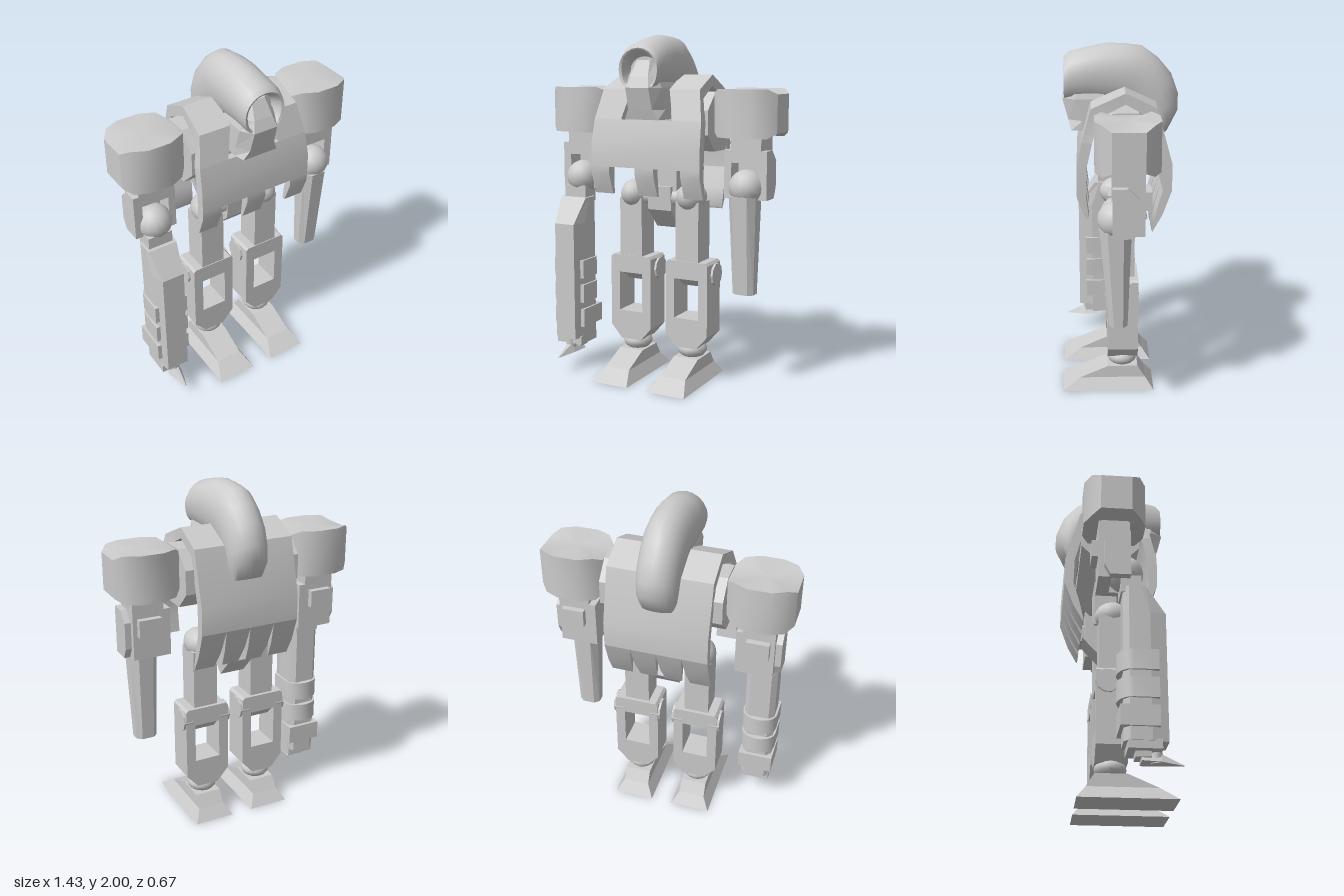
import * as THREE from 'three';
import { toCreasedNormals } from 'three/addons/utils/BufferGeometryUtils.js';

const grey = new THREE.MeshStandardMaterial({ color: 0xcccccc });
const flat = new THREE.MeshStandardMaterial({ color: 0xcccccc, flatShading: true });

function add(group, name, geo, pos = [0, 0, 0], mat = flat) {
  const m = new THREE.Mesh(geo, mat);
  m.name = name;
  m.position.set(...pos);
  group.add(m);
  return m;
}

// box given by its limits on each axis
function box(group, name, [x0, x1], [y0, y1], [z0, z1]) {
  return add(group, name, new THREE.BoxGeometry(x1 - x0, y1 - y0, z1 - z0),
    [(x0 + x1) / 2, (y0 + y1) / 2, (z0 + z1) / 2]);
}

// closed solid through rings of [x, y, z]; faces always end up pointing outward
function loft(rings, crease = 0.3) {
  const tris = [], n = rings[0].length, last = rings.length - 1;
  const mid = r => [0, 1, 2].map(k => r.reduce((s, p) => s + p[k], 0) / n);
  const c0 = mid(rings[0]), c1 = mid(rings[last]);
  for (let j = 0; j < n; j++) {
    const k = (j + 1) % n;
    for (let i = 0; i < last; i++) {
      const a = rings[i][j], b = rings[i][k], c = rings[i + 1][k], d = rings[i + 1][j];
      tris.push([a, b, c], [a, c, d]);
    }
    tris.push([c0, rings[0][k], rings[0][j]], [c1, rings[last][j], rings[last][k]]);
  }
  let vol = 0;
  for (const [a, b, c] of tris) {
    vol += a[0] * (b[1] * c[2] - b[2] * c[1]) + a[1] * (b[2] * c[0] - b[0] * c[2]) + a[2] * (b[0] * c[1] - b[1] * c[0]);
  }
  const pts = tris.flatMap(([a, b, c]) => vol > 0 ? [...a, ...b, ...c] : [...a, ...c, ...b]);
  const g = new THREE.BufferGeometry();
  g.setAttribute('position', new THREE.Float32BufferAttribute(pts, 3));
  return toCreasedNormals(g, crease);
}

// thick curved plate: each row is [outer z, outer y, inner z, inner y, left x, right x]
const plate = rows => loft(rows.map(([zo, yo, zi, yi, a, b]) =>
  [[a, yo, zo], [b, yo, zo], [b, yi, zi], [a, yi, zi]]), 0.7);

function torso() {
  const g = new THREE.Group();
  g.name = 'torso';
  const f0 = [.19, 1.1, .17, 1.1], f1 = [.235, 1.22, .185, 1.22], f2 = [.236, 1.26, .185, 1.26],
    f3 = [.235, 1.39, .18, 1.39], f4 = [.205, 1.53, .15, 1.52], f5 = [.155, 1.7, .11, 1.65],
    top = [-.03, 1.78, -.03, 1.72], b1 = [-.2, 1.7, -.16, 1.65], b2 = [-.285, 1.39, -.23, 1.39],
    b3 = [-.285, 1.24, -.235, 1.24], b4 = [-.235, 1.1, -.2, 1.12], b5 = [-.18, 1.0, -.175, 1.01];
  // front: three tongues, chest band, two straps beside the neck opening
  for (const [a, b] of [[-.345, -.228], [-.06, .06], [.228, .345]]) {
    add(g, 'chestTongue', plate([f0, f1, f2].map(r => [...r, a, b])), undefined, grey);
  }
  add(g, 'chestPlate', plate([f2, f3, f4].map((r, i) => [...r, i < 2 ? -.345 : -.338, i < 2 ? .345 : .338])), undefined, grey);
  const straps = [[f4, .163, .338], [f5, .12, .305], [top, .1, .295]];
  add(g, 'leftStrap', plate(straps.map(([r, a, b]) => [...r, a, b])), undefined, grey);
  add(g, 'rightStrap', plate(straps.map(([r, a, b]) => [...r, -b, -a])), undefined, grey);
  // back plate and its slit lower edge
  add(g, 'backPlate', plate([top, b1, b2, b3].map(r => [...r, -.295, .295])), undefined, grey);
  for (let i = 0; i < 4; i++) {
    const a = -.295 + i * .1475, b = a + .1475;
    const rows = [b3, b4, b5].map((r, k) => [...r, a + (i > 0 ? k * .012 : 0), b - (i < 3 ? k * .012 : 0)]);
    add(g, 'backTongue', plate(rows), undefined, grey);
  }
  // inner frame
  const axle = new THREE.CylinderGeometry(.178, .178, .69, 8).rotateY(Math.PI / 8).rotateZ(Math.PI / 2);
  add(g, 'shoulderAxle', axle, [0, 1.52, -.03]);
  box(g, 'spine', [-.1, .1], [1.08, 1.42], [-.1, .03]);
  // pelvis, swept down and back
  const p = [[.06, 1.14], [.05, 1.0], [-.06, .885], [-.168, 1.0], [-.09, 1.14]];
  add(g, 'pelvis', loft([-.075, .075].map(x => p.map(([z, y]) => [x, y, z]))));
  add(g, 'hipAxle', new THREE.CylinderGeometry(.05, .05, .36, 12).rotateZ(Math.PI / 2), [0, 1.075, 0], grey);
  return g;
}

function head() {
  const g = new THREE.Group();
  g.name = 'head';
  const N = 20;
  const ring = ([zo, yo, zi, yi, w]) => Array.from({ length: N }, (_, j) => {
    const a = j / N * Math.PI * 2, c = Math.cos(a), s = Math.sin(a);
    const t = (1 + s) / 2;
    // the lower half is squarer than the domed top
    const k = s < 0 ? Math.sign(c) * Math.pow(Math.abs(c), .5) : c;
    return [k * w, yi + (yo - yi) * t, zi + (zo - zi) * t];
  });
  // hood: recessed opening, rim, then the arch running up, back and down
  const hood = [
    [.22, 1.88, .22, 1.73, .09], [.295, 1.915, .295, 1.71, .105], [.3, 1.925, .3, 1.7, .12],
    [.27, 1.955, .26, 1.7, .127], [.17, 1.98, .17, 1.7, .127], [.07, 2, .07, 1.69, .126],
    [-.03, 1.998, 0, 1.68, .124], [-.13, 1.985, -.04, 1.66, .122], [-.22, 1.92, -.08, 1.63, .12],
    [-.295, 1.83, -.11, 1.6, .118], [-.335, 1.72, -.13, 1.57, .115], [-.335, 1.63, -.15, 1.53, .11],
    [-.28, 1.52, -.17, 1.49, .095]];
  add(g, 'hood', loft(hood.map(ring), 1), undefined, grey);
  // face block: [y, front z, front half width, side half width, side z]
  const face = [[1.535, .262, .105, .118, .2], [1.59, .278, .075, .118, .2],
    [1.71, .31, .07, .115, .24], [1.77, .285, .055, .095, .24], [1.86, .235, .04, .06, .2]];
  add(g, 'face', loft(face.map(([y, z, a, b, zs]) =>
    [[-a, y, z], [a, y, z], [b, y, zs], [b, y, .08], [-b, y, .08], [-b, y, zs]])));
  return g;
}

// shoulder and upper arm, s = side
function upperArm(s) {
  const g = new THREE.Group();
  g.name = s > 0 ? 'leftUpperArm' : 'rightUpperArm';
  const span = (a, b) => s > 0 ? [a, b] : [-b, -a];
  // twelve-sided shoulder whose two end facets are lower than the middle
  const half = [[.185, .085], [.145, .132], [.065, .17], [-.065, .17], [-.145, .132], [-.185, .085]];
  const outline = [...half, ...half.map(([x, z]) => [-x, -z])];
  add(g, 'shoulder', loft([-1, 1].map(v => outline.map(([x, z]) =>
    [s * (.532 + x), 1.573 + v * (Math.abs(x) > .18 ? .105 : .132), z - .03])), .5), undefined, grey);
  box(g, 'armBlock', span(.445, .625), [1.3, 1.45], [-.12, .05]);
  box(g, 'armBack', span(.445, .625), [1.1, 1.3], [-.12, -.05]);
  box(g, 'innerCheek', span(.408, .45), [1.1, 1.37], [-.12, .05]);
  // six-sided outer plate
  const hex = [[.05, 1.1], [.05, 1.37], [-.03, 1.37], [-.09, 1.31], [-.09, 1.16], [-.06, 1.1]];
  add(g, 'outerCheek', loft([.61, .66].map(x => hex.map(([z, y]) => [s * x, y, z]))));
  box(g, 'rearPad', span(.47, .6), [1.235, 1.335], [-.155, -.11]);
  add(g, 'elbowBall', new THREE.SphereGeometry(.1, 16, 10), [s * .535, 1.165, .03], grey);
  return g;
}

// plain tapered forearm on the left
function taperedForearm() {
  const rings = [[1.12, .08, .085, .033], [.56, .063, .05, .018]].map(([y, a, b, z]) =>
    [[a, .5], [a, -.5], [a * .55, -1], [-a * .55, -1], [-a, -.5], [-a, .5], [-a * .55, 1], [a * .55, 1]]
      .map(([x, k]) => [.528 + x, y, z + k * b]));
  return loft(rings);
}

// banded weapon forearm on the right
function weaponForearm() {
  const g = new THREE.Group();
  g.name = 'weaponForearm';
  const X = -.543;
  box(g, 'wrist', [X - .073, X + .073], [1.02, 1.12], [0, .11]);
  // [y, front z, front half width, side z]
  const body = [[.2, .235, .066, .15], [.9, .235, .066, .15], [1.05, .13, .086, .1]];
  add(g, 'weaponBody', loft(body.map(([y, z, a, zs]) =>
    [[-a, z], [a, z], [.09, zs], [.09, .04], [.06, .01], [-.06, .01], [-.09, .04], [-.09, zs]]
      .map(([x, q]) => [X + x, y, q]))));
  // two bands rounded at the back and one square one
  for (const y of [.57, .42]) {
    const arc = Array.from({ length: 11 }, (_, i) => {
      const a = Math.PI * i / 10;
      return [X - .103 * Math.cos(a), .06 - .08 * Math.sin(a)];
    });
    const shape = [[X - .103, .19], ...arc, [X + .103, .19]];
    add(g, 'band', loft([y, y + .11].map(v => shape.map(([x, z]) => [x, v, z])), .7), undefined, grey);
  }
  box(g, 'lowerBand', [X - .103, X + .103], [.27, .38], [-.01, .19]);
  box(g, 'baseBlock', [X - .085, X + .085], [.16, .21], [.03, .2]);
  add(g, 'muzzle', new THREE.CylinderGeometry(.03, .03, .1, 12), [X, .155, .18], grey);
  box(g, 'muzzleGuard', [X - .045, X + .045], [.13, .2], [.07, .15]);
  // thin pointed blade
  add(g, 'blade', loft([[.1, .05, .11, .15], [.2, .04, .108, .155], [.315, .006, .1, .105]].map(([z, w, a, b]) =>
    [[X - w, a, z], [X + w, a, z], [X + w * .4, b, z], [X - w * .4, b, z]])));
  return g;
}

function leg(s) {
  const g = new THREE.Group();
  g.name = s > 0 ? 'leftLeg' : 'rightLeg';
  add(g, 'hipBall', new THREE.SphereGeometry(.085, 16, 10), [0, 1.085, 0], grey).scale.z = 1.25;
  box(g, 'thigh', [-.073, .073], [.7, 1.06], [-.085, .065]);
  // bottom of the thigh, sloped inside the shin opening
  const end = [[.045, .72], [.045, .61], [-.04, .55], [-.085, .6], [-.085, .72]];
  add(g, 'kneeTongue', loft([-.073, .073].map(x => end.map(([z, y]) => [x, y, z]))));
  // shin frame with a through opening
  const v = (x, y) => new THREE.Vector2(x, y);
  const shin = new THREE.Shape([v(-.065, .2), v(.065, .2), v(.134, .28), v(.134, .7), v(.12, .715),
    v(-.12, .715), v(-.134, .7), v(-.134, .28)]);
  shin.holes.push(new THREE.Path([v(-.077, .375), v(-.077, .61), v(.077, .61), v(.077, .375)]));
  add(g, 'shin', new THREE.ExtrudeGeometry(shin, { depth: .175, bevelEnabled: false }), [0, 0, -.105]);
  for (const d of [-1, 1]) {
    add(g, 'kneeDisc', new THREE.CylinderGeometry(.067, .067, .06, 10).rotateZ(Math.PI / 2), [d * .117, .635, -.04]);
  }
  add(g, 'ankleBall', new THREE.SphereGeometry(.088, 16, 10), [0, .18, -.017], grey).scale.y = .65;
  // foot: ankle block flaring to a long flat sole
  const foot = [[0, .12, .335, -.2], [.068, .079, .235, -.15], [.14, .077, .07, -.105]];
  add(g, 'foot', loft(foot.map(([y, w, f, b]) => [[-w, y, f], [w, y, f], [w, y, b], [-w, y, b]])));
  g.position.x = s * .184;
  return g;
}

export function createModel() {
  const model = new THREE.Group();
  model.name = 'robot';
  model.add(torso(), head(), weaponForearm());
  add(model, 'leftForearm', taperedForearm());
  for (const s of [1, -1]) model.add(upperArm(s), leg(s));
  return model;
}
